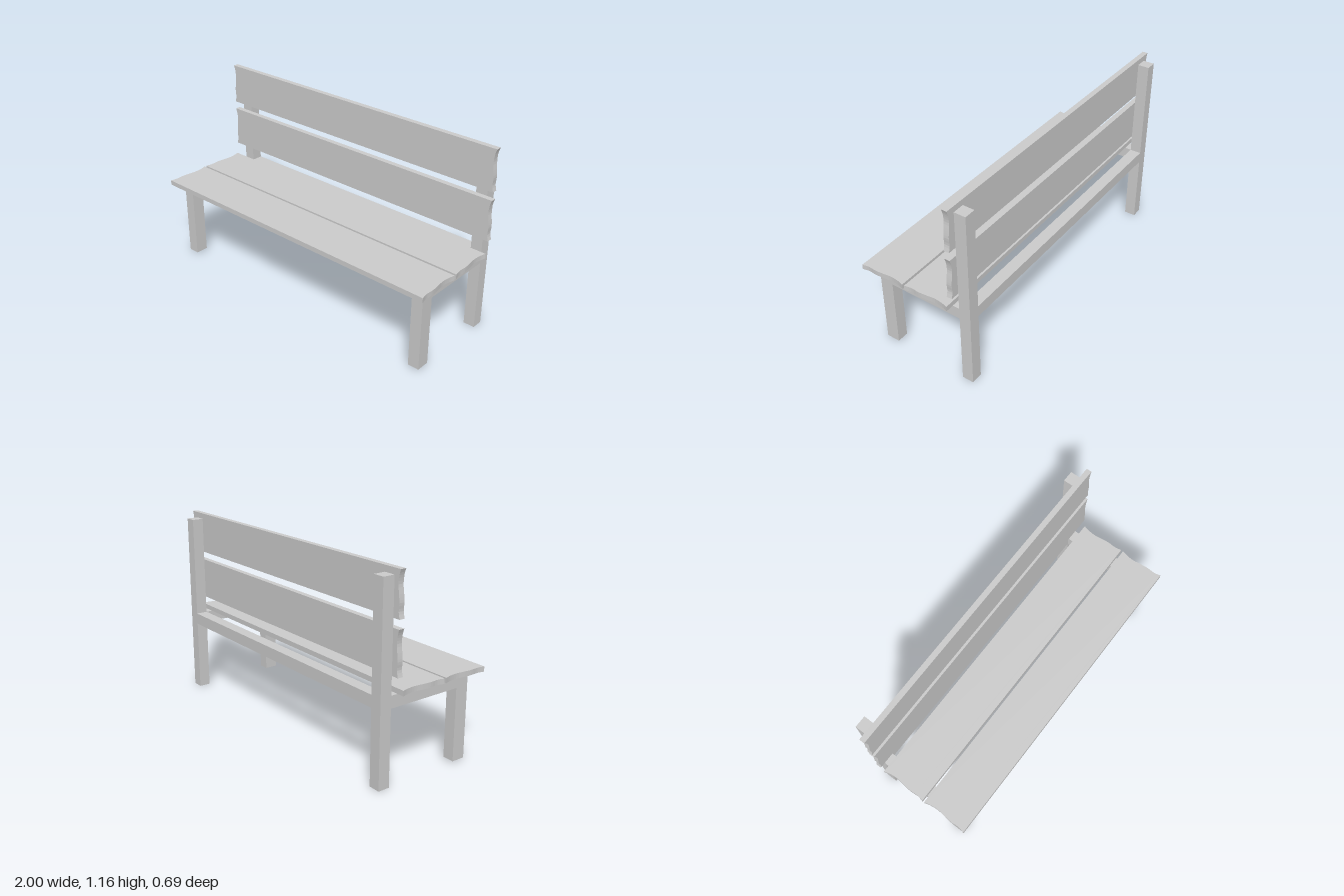
import * as THREE from 'three';

const material = new THREE.MeshStandardMaterial({ color: 0xcccccc, flatShading: true });

function add(parent, name, geometry, x = 0, y = 0, z = 0) {
  const mesh = new THREE.Mesh(geometry, material);
  mesh.name = name;
  mesh.position.set(x, y, z);
  parent.add(mesh);
  return mesh;
}

// Plank outline in x/y with softly waved ends, extruded to its thickness
function plankGeometry(width, thickness) {
  const h = width / 2;
  const wave = new THREE.SplineCurve([
    [1, -h], [0.992, -h * 0.7], [0.995, -h * 0.35], [0.991, 0],
    [0.985, h * 0.38], [0.99, h * 0.75], [1, h],
  ].map(([x, y]) => new THREE.Vector2(x, y))).getPoints(18);
  const mirrored = wave.map((p) => new THREE.Vector2(-p.x, p.y)).reverse();
  const shape = new THREE.Shape([...wave, ...mirrored]);
  return new THREE.ExtrudeGeometry(shape, { depth: thickness, bevelEnabled: false });
}

// Front leg and side rail as one angled piece, drawn in z/y
function sideFrameGeometry(width) {
  const outline = [
    [0.27, 0.01], [0.27, 0.51], [-0.275, 0.51], [-0.275, 0.44], [0.188, 0.44], [0.188, 0.01],
  ].map(([z, y]) => new THREE.Vector2(-z, y));
  const geometry = new THREE.ExtrudeGeometry(new THREE.Shape(outline), { depth: width, bevelEnabled: false });
  return geometry.translate(0, 0, -width / 2).rotateY(Math.PI / 2);
}

export function createModel() {
  const bench = new THREE.Group();
  bench.name = 'bench';
  const postWidth = 0.07;
  const frameCentre = -0.004;

  // Frame: a post and an angled leg on each side
  for (const [side, sign] of [['left', 1], ['right', -1]]) {
    const x = frameCentre + sign * 0.917;
    add(bench, `${side}BackPost`, new THREE.BoxGeometry(postWidth, 1.13, 0.07), x, 0.565, -0.31);
    add(bench, `${side}FrontLegAndRail`, sideFrameGeometry(postWidth), x);
  }

  // Rear cross rail between the posts
  add(bench, 'rearRail', new THREE.BoxGeometry(1.764, 0.07, 0.07), frameCentre, 0.475, -0.31);

  // Backrest planks, fixed to the front of the posts
  for (const [name, y] of [['lowerBackPlank', 0.74], ['upperBackPlank', 1.04]]) {
    add(bench, name, plankGeometry(0.25, 0.033), 0, y, -0.275);
  }

  // Seat planks, laid flat on the side rails
  for (const [name, z] of [['rearSeatPlank', -0.092], ['frontSeatPlank', 0.206]]) {
    add(bench, name, plankGeometry(0.284, 0.03), 0, 0.51, z).rotation.x = -Math.PI / 2;
  }

  return bench;
}
